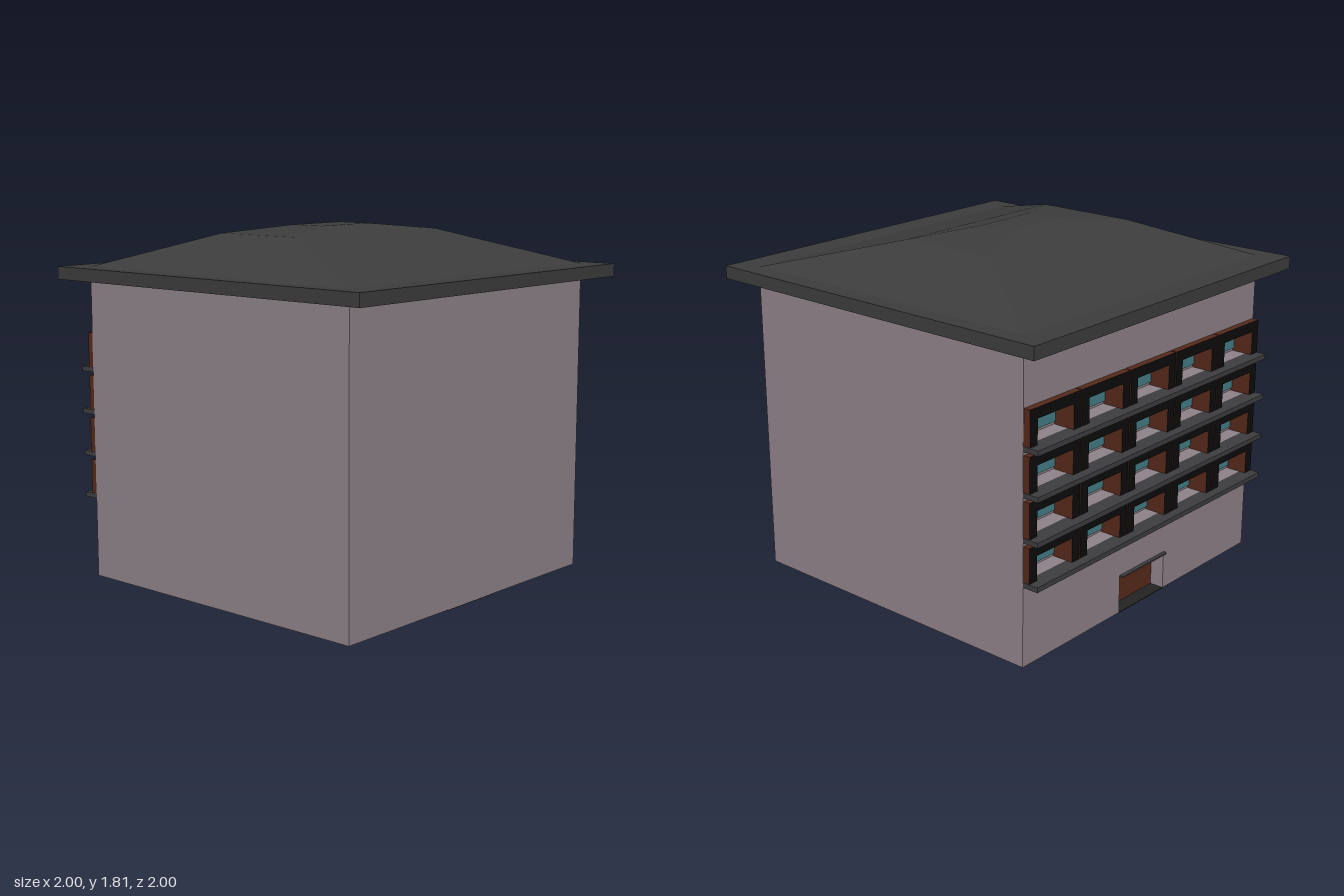
import * as THREE from 'three';

const mat = (color) => new THREE.MeshStandardMaterial({ color, flatShading: true });

export function createModel() {
  const root = new THREE.Group();
  root.name = 'building';

  const wall = mat(0x8d8188), roofMat = mat(0x3c3c3c), slabMat = mat(0x3d3d40);
  const brown = mat(0x56291a), black = mat(0x0c0b0b), glass = mat(0x447c86), dark = mat(0x232323);

  const add = (name, geometry, material, parent = root) => {
    const mesh = new THREE.Mesh(geometry, material);
    mesh.name = name;
    parent.add(mesh);
    return mesh;
  };
  // Box given by its minimum and maximum corners
  const box = (name, [x0, y0, z0], [x1, y1, z1], material, parent) => {
    const mesh = add(name, new THREE.BoxGeometry(x1 - x0, y1 - y0, z1 - z0), material, parent);
    mesh.position.set((x0 + x1) / 2, (y0 + y1) / 2, (z0 + z1) / 2);
    return mesh;
  };
  const polygon = (points) => points.map(([x, y]) => new THREE.Vector2(x, y));

  const W = 0.905, BACK = -0.86, FRONT = 0.86, INNER = -0.78, TOP = 1.535;
  const COLS = 5, ROWS = 4, cell = (2 * W) / COLS, half = 0.178;
  const floorY = (row) => 0.435 + row * 0.2185;
  const columnX = (col) => (col - (COLS - 1) / 2) * cell;
  const frameH = 0.176, rim = 0.053;

  // Main block and the dark strip beneath it
  box('body', [-W, 0.003, INNER], [W, TOP, FRONT], wall);
  box('passageFloor', [-0.181, 0, BACK], [0.181, 0.004, FRONT], dark);

  // Back wall, notched for the door and pierced for the windows
  const wallShape = new THREE.Shape(polygon([
    [-W, 0.003], [-0.181, 0.003], [-0.181, 0.2], [0.181, 0.2],
    [0.181, 0.003], [W, 0.003], [W, TOP], [-W, TOP],
  ]));
  for (let row = 0; row < ROWS; row++) {
    for (let col = 0; col < COLS; col++) {
      const x = columnX(col), y = floorY(row);
      wallShape.holes.push(new THREE.Path(polygon([
        [x - half, y], [x - half, y + frameH], [x + half, y + frameH], [x + half, y],
      ])));
    }
  }
  const backWall = add('backWall',
    new THREE.ExtrudeGeometry(wallShape, { depth: INNER - BACK, bevelEnabled: false }), wall);
  backWall.position.z = BACK;

  // Door set back in its notch, with a thin lintel
  box('door', [-0.181, 0.004, INNER - 0.006], [0.181, 0.2, INNER + 0.004], brown);
  box('doorLintel', [-0.181, 0.197, -0.88], [0.181, 0.205, BACK + 0.01], slabMat);

  // Window frame: two jambs and a head, open at the sill
  const inner = half - rim;
  const frameShape = new THREE.Shape(polygon([
    [-half, 0], [-inner, 0], [-inner, frameH - rim], [inner, frameH - rim],
    [inner, 0], [half, 0], [half, frameH], [-half, frameH],
  ]));
  const frameGeometry = new THREE.ExtrudeGeometry(frameShape, { depth: 0.113, bevelEnabled: false });
  const paneGeometry = new THREE.BoxGeometry(2 * inner, frameH - rim - 0.015, 0.01);

  for (let row = 0; row < ROWS; row++) {
    const y = floorY(row);
    box('balconySlab', [-W, y - 0.025, -0.945], [W, y, BACK + 0.002], slabMat);
    for (let col = 0; col < COLS; col++) {
      const unit = new THREE.Group();
      unit.name = 'window';
      unit.position.set(columnX(col), y, 0);
      add('windowFrame', frameGeometry, [black, brown], unit).position.z = -0.895;
      add('windowPane', paneGeometry, glass, unit)
        .position.set(0, (frameH - rim + 0.015) / 2, INNER - 0.004);
      root.add(unit);
    }
  }

  // Eaves slab
  box('eaves', [-1, TOP, -1], [1, 1.6, 1], roofMat);

  // Hipped roof: rectangular rings [half width, back z, front z, height]
  const rings = [
    [0.905, -0.86, 0.86, 1.6],
    [0.515, -0.32, 0.21, 1.772],
    [0.18, -0.15, 0.04, 1.806],
  ];
  const positions = [], index = [];
  for (const [x, z0, z1, y] of rings) positions.push(-x, y, z1, x, y, z1, x, y, z0, -x, y, z0);
  for (let r = 0; r < rings.length - 1; r++) {
    for (let i = 0; i < 4; i++) {
      const a = r * 4 + i, b = r * 4 + (i + 1) % 4;
      index.push(a, b, b + 4, a, b + 4, a + 4);
    }
  }
  index.push(8, 9, 10, 8, 10, 11);
  const indexed = new THREE.BufferGeometry();
  indexed.setAttribute('position', new THREE.Float32BufferAttribute(positions, 3));
  indexed.setIndex(index);
  const roofGeometry = indexed.toNonIndexed();
  roofGeometry.computeVertexNormals();
  add('roof', roofGeometry, roofMat);

  return root;
}
